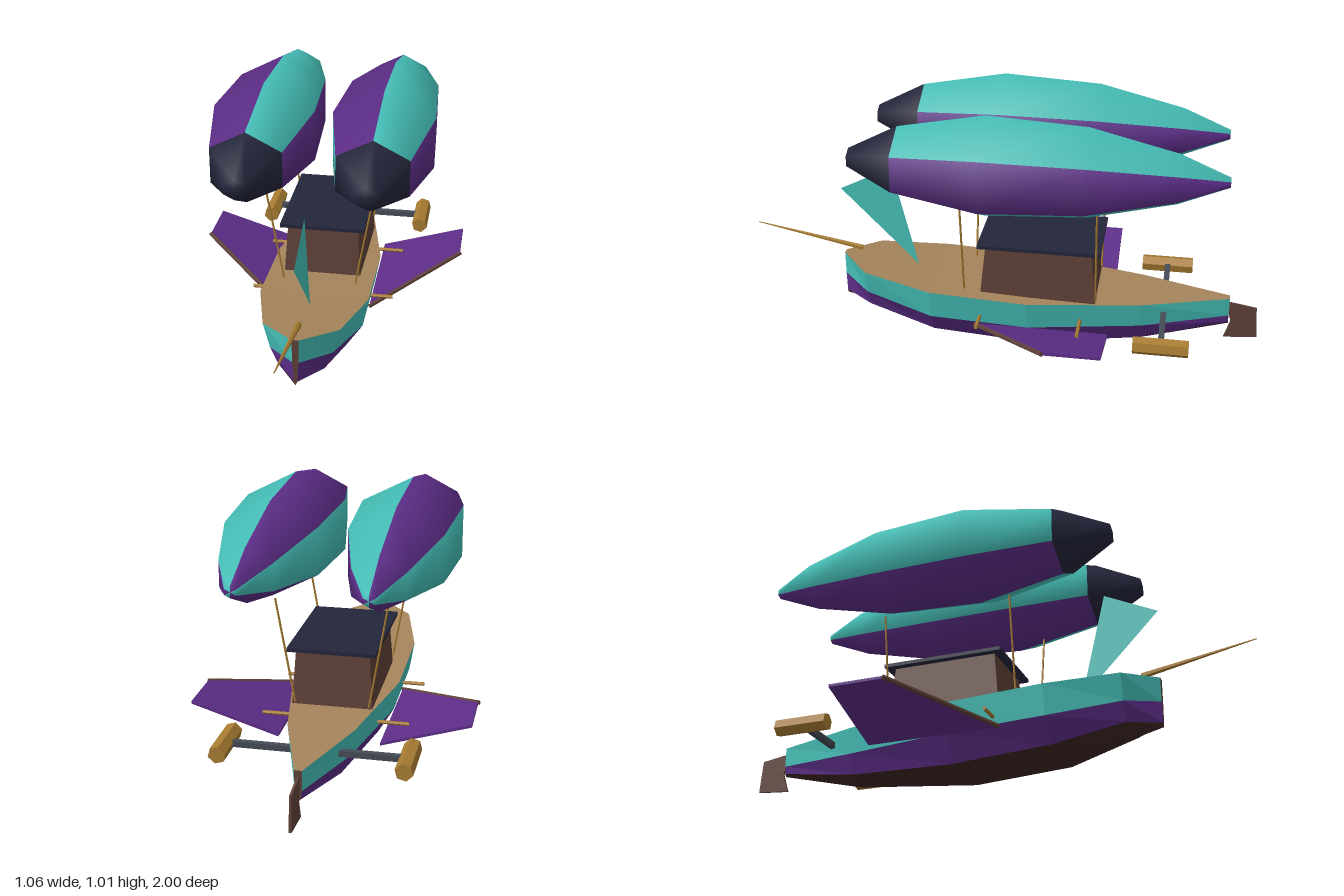
import * as THREE from 'three';

const mat = (name, color) => new THREE.MeshStandardMaterial({ name, color });

export function createModel() {
  const teal = mat('teal', 0x45bfb7), purple = mat('purple', 0x5c2d87), navy = mat('navy', 0x23253a);
  const deckWood = mat('deck wood', 0xa5845c), brown = mat('cabin brown', 0x5d4037);
  const darkWood = mat('dark hull wood', 0x3e2723), gold = mat('gold wood', 0xa87c32);
  const steel = mat('steel', 0x454c56);
  const sailCloth = mat('sail teal', 0x45bfb7);
  sailCloth.side = THREE.DoubleSide;

  const model = new THREE.Group();
  model.name = 'airship';
  const V = (x, y, z) => new THREE.Vector3(x, y, z);

  // Facet a geometry and add it as a named mesh
  const add = (name, geo, material, parent = model) => {
    const g = geo.index ? geo.toNonIndexed() : geo;
    g.computeVertexNormals();
    const mesh = new THREE.Mesh(g, material);
    mesh.name = name;
    parent.add(mesh);
    return mesh;
  };
  const fromPoints = (pts) => new THREE.BufferGeometry().setFromPoints(pts);
  // Straight round bar between two points
  const rod = (name, a, b, ra, rb, material, sides = 6) => {
    const d = b.clone().sub(a);
    const mesh = add(name, new THREE.CylinderGeometry(rb, ra, d.length(), sides), material);
    mesh.position.copy(a).addScaledVector(d, 0.5);
    mesh.quaternion.setFromUnitVectors(V(0, 1, 0), d.normalize());
    return mesh;
  };

  // Hull stations, bow to stern: z, gunwale x y, waist x y, chine x y, keel y
  const stations = [
    [0.645, 0.013, 0.308, 0.011, 0.215, 0.006, 0.135, 0.12],
    [0.53, 0.14, 0.293, 0.115, 0.195, 0.085, 0.125, 0.09],
    [0.26, 0.207, 0.265, 0.187, 0.15, 0.127, 0.06, 0.03],
    [-0.12, 0.207, 0.247, 0.187, 0.135, 0.127, 0.035, 0.005],
    [-0.55, 0.122, 0.237, 0.107, 0.138, 0.072, 0.065, 0.037],
    [-0.885, 0.014, 0.235, 0.012, 0.16, 0.008, 0.13, 0.12],
  ];
  const rings = stations.map(([z, gx, gy, wx, wy, cx, cy, ky]) => [
    V(gx, gy, z), V(wx, wy, z), V(cx, cy, z), V(0, ky, z),
    V(-cx, cy, z), V(-wx, wy, z), V(-gx, gy, z),
  ]);
  const band = (name, columns, material) => {
    const pts = [];
    for (let s = 0; s < rings.length - 1; s++) {
      for (const i of columns) {
        const j = (i + 1) % 7;
        const a = rings[s][i], b = rings[s + 1][i], c = rings[s + 1][j], d = rings[s][j];
        pts.push(a, d, c, a, c, b);
      }
    }
    add(name, fromPoints(pts), material);
  };
  band('upperHull', [0, 5], teal);
  band('middleHull', [1, 4], purple);
  band('hullBottom', [2, 3], darkWood);
  band('deck', [6], deckWood);

  // Stem and stern faces
  const bow = rings[0], stern = rings[rings.length - 1];
  const stemPts = [], sternPts = [];
  for (let i = 1; i < 6; i++) {
    stemPts.push(bow[0], bow[i + 1], bow[i]);
    sternPts.push(stern[0], stern[i], stern[i + 1]);
  }
  add('stem', fromPoints(stemPts), brown);
  add('sternPost', fromPoints(sternPts), brown);

  // Rudder: thin plate on the centre line
  const rudderShape = new THREE.Shape([[0.87, 0.215], [0.99, 0.195], [1.0, 0.068], [0.872, 0.058], [0.895, 0.13]]
    .map(([x, y]) => new THREE.Vector2(x, y)));
  const rudder = new THREE.ExtrudeGeometry(rudderShape, { depth: 0.009, bevelEnabled: false });
  rudder.translate(0, 0, -0.0045).rotateY(Math.PI / 2);
  add('rudder', rudder, brown);

  // Bowsprit and jib
  rod('bowsprit', V(0, 0.33, 0.575), V(0, 0.41, 1.0), 0.012, 0.002, gold);
  add('jibSail', fromPoints([V(0, 0.585, 0.65), V(0, 0.685, 0.445), V(0, 0.275, 0.345)]), sailCloth);

  // Cabin with walls leaning inwards
  const cabin = new THREE.BoxGeometry(0.3, 0.21, 0.445);
  const cp = cabin.attributes.position;
  for (let i = 0; i < cp.count; i++) {
    if (cp.getY(i) > 0) cp.setXYZ(i, cp.getX(i) * 0.91, cp.getY(i), cp.getZ(i) * 0.91);
  }
  add('cabin', cabin, brown).position.set(0, 0.345, -0.152);
  add('cabinRoof', new THREE.BoxGeometry(0.328, 0.014, 0.47), navy).position.set(0, 0.455, -0.155);

  // Gas bags: smooth six-sided lathes, alternating panels and a dark nose
  const profile = [[0, -0.84], [0.02, -0.84], [0.097, -0.66], [0.176, -0.34], [0.197, 0.03],
    [0.135, 0.355], [0.038, 0.54], [0, 0.54]].map(([r, z]) => new THREE.Vector2(r, z));
  for (const side of [1, -1]) {
    const bag = new THREE.LatheGeometry(profile, 6);
    for (let i = 0; i < 6; i++) {
      bag.addGroup(i * 42, 30, i % 2);
      bag.addGroup(i * 42 + 30, 12, 2);
    }
    bag.rotateX(Math.PI / 2).scale(1.12, 1, 1);
    const mesh = new THREE.Mesh(bag, [teal, purple, navy]);
    mesh.name = side > 0 ? 'leftGasBag' : 'rightGasBag';
    mesh.position.set(side * 0.225, 0.819, 0);
    model.add(mesh);
  }

  // Paired parts on both sides
  for (const s of [1, -1]) {
    const label = s > 0 ? 'left' : 'right';

    // Struts holding the gas bags
    for (const z of [0.135, -0.375]) {
      rod(label + 'Strut', V(s * 0.138, 0.25, z), V(s * 0.206, 0.645, z), 0.004, 0.004, gold);
    }

    // Wing: flat plate sheared upwards towards the tip
    const outline = [[0.19, -0.08], [0.52, 0.22], [0.52, 0.43], [0.19, 0.43]];
    const wing = new THREE.ExtrudeGeometry(
      new THREE.Shape(outline.map(([x, y]) => new THREE.Vector2(s * x, y))),
      { depth: 0.01, bevelEnabled: false });
    wing.rotateX(-Math.PI / 2);
    const wp = wing.attributes.position;
    for (let i = 0; i < wp.count; i++) {
      wp.setY(i, wp.getY(i) + 0.127 + (Math.abs(wp.getX(i)) - 0.19) * 0.31);
    }
    add(label + 'Wing', wing, purple);
    rod(label + 'WingSpar', V(s * 0.19, 0.132, 0.085), V(s * 0.522, 0.235, -0.22), 0.009, 0.009, brown);

    // Pegs at the wing root
    for (const z of [0.065, -0.32]) {
      rod(label + 'WingPeg', V(s * 0.16, 0.17, z), V(s * 0.278, 0.17, z), 0.007, 0.007, gold);
    }

    // Engine pod on its arm
    const arm = add(label + 'EngineArm', new THREE.BoxGeometry(0.24, 0.022, 0.022), steel);
    arm.position.set(s * 0.19, 0.188, -0.635);
    const pod = new THREE.CylinderGeometry(0.033, 0.033, 0.205, 6);
    pod.rotateX(Math.PI / 2).rotateZ(s * 0.25);
    add(label + 'EnginePod', pod, gold).position.set(s * 0.327, 0.186, -0.635);
  }
  return model;
}
